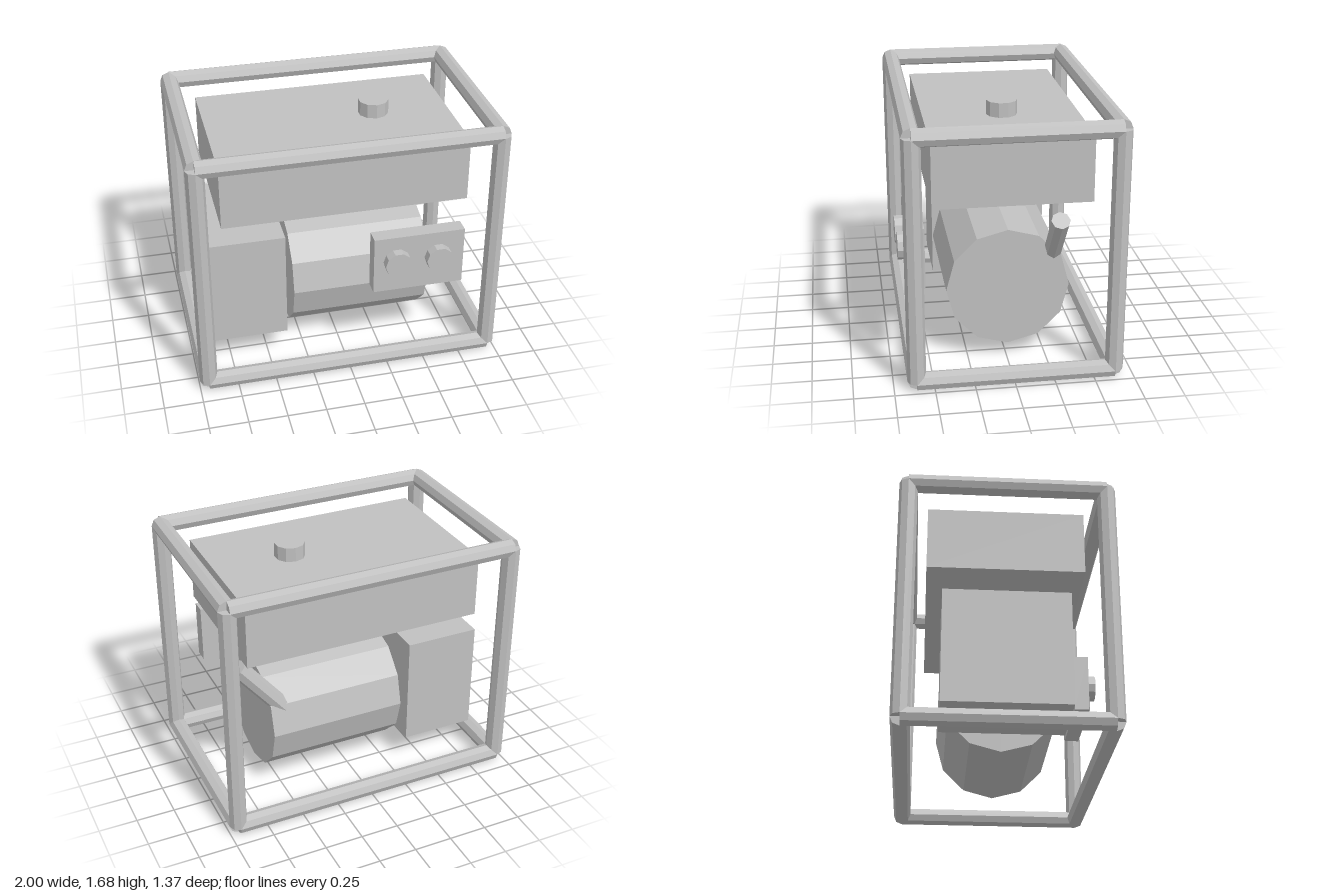
import * as THREE from 'three';

export function createModel() {
  const model = new THREE.Group();
  model.name = 'generator';
  const grey = new THREE.MeshStandardMaterial({ color: 0xc0c0c0 });
  grey.name = 'grey';
  grey.flatShading = true;

  const Z0 = -0.008; // depth centre of the frame and the parts inside it

  function add(name, geometry, x, y, z, parent = model) {
    const mesh = new THREE.Mesh(geometry, grey);
    mesh.name = name;
    mesh.position.set(x, y, z);
    parent.add(mesh);
    return mesh;
  }
  const rod = (r, length, sides, start = 0) =>
    new THREE.CylinderGeometry(r, r, length, sides, 1, false, start);

  // Tubular frame: four rails along each axis, meeting at the corner centres
  const frame = new THREE.Group();
  frame.name = 'frame';
  model.add(frame);
  const R = 0.058, HX = 0.942, HY = 0.782, HZ = 0.618, CY = 0.84;
  for (const a of [-1, 1]) {
    for (const b of [-1, 1]) {
      add('lengthRail', rod(R, 2 * HX, 8), 0, CY + a * HY, Z0 + b * HZ, frame).rotation.z = Math.PI / 2;
      add('framePost', rod(R, 2 * HY, 8), a * HX, CY, Z0 + b * HZ, frame);
      add('crossRail', rod(R, 2 * HZ, 8), a * HX, CY + b * HY, Z0, frame).rotation.x = Math.PI / 2;
    }
  }

  // Fuel tank and its filler cap
  add('fuelTank', new THREE.BoxGeometry(1.58, 0.417, 0.988), 0, 1.327, Z0);
  add('fuelCap', rod(0.098, 0.093, 10), 0.295, 1.594, Z0);

  // Engine drum lying along x, with the alternator box beside it
  add('engineDrum', rod(0.394, 0.91, 12), 0.133, 0.485, Z0).rotation.z = Math.PI / 2;
  add('alternatorBox', new THREE.BoxGeometry(0.492, 0.737, 0.788), -0.62, 0.559, Z0);

  // Control panel with two round sockets
  add('controlPanel', new THREE.BoxGeometry(0.592, 0.394, 0.1), 0.441, 0.783, 0.577);
  for (const x of [0.294, 0.565]) {
    add('socket', rod(0.087, 0.08, 10, Math.PI / 2), x, 0.806, 0.645).rotation.x = Math.PI / 2;
  }

  // Exhaust pipe leaning outwards from the drum
  const lean = 0.68, length = 0.5;
  add('exhaustPipe', rod(0.06, length, 8),
    0.783 - Math.sin(lean) * length / 2, 1.003 - Math.cos(lean) * length / 2, -0.302).rotation.z = -lean;

  return model;
}
